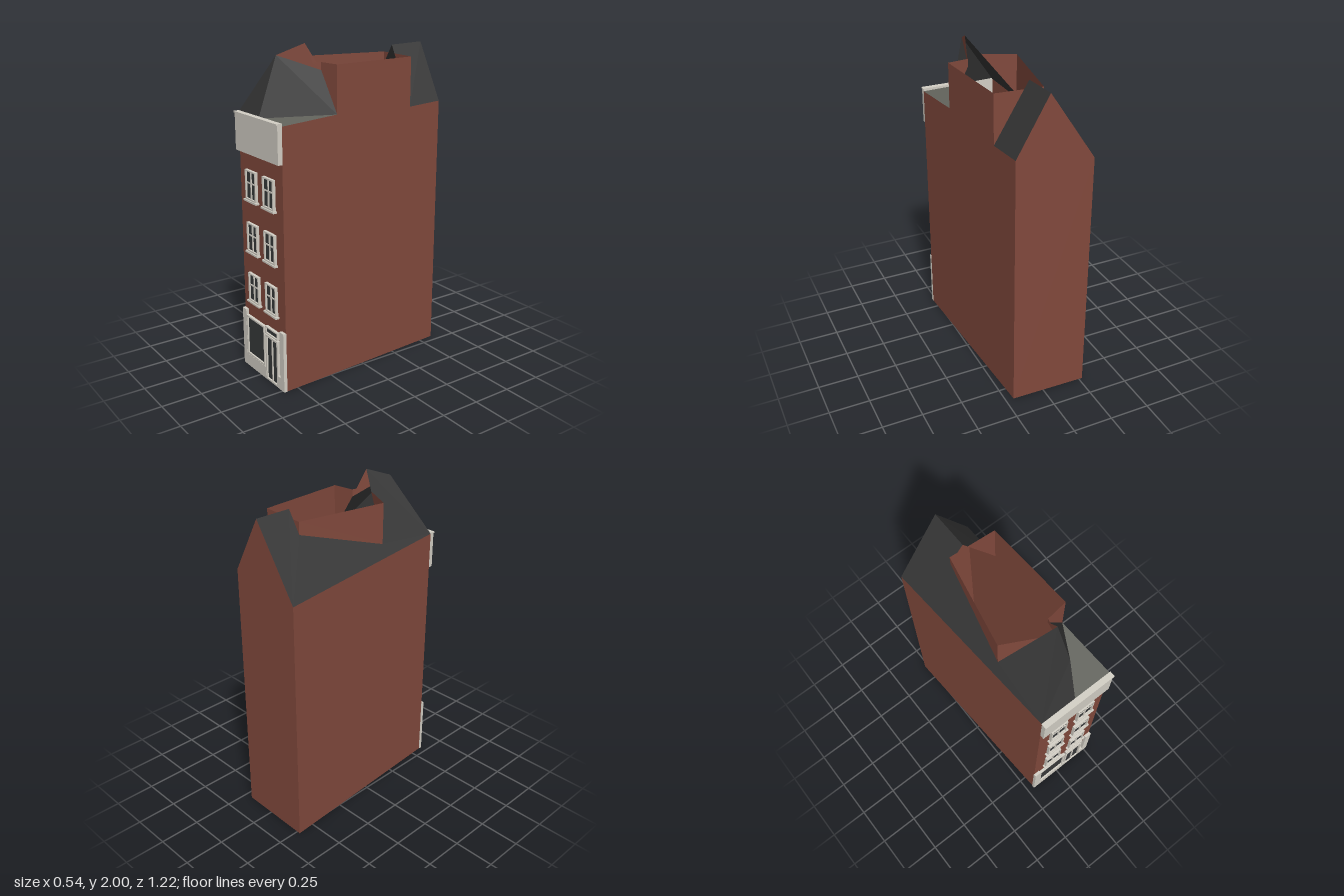
import * as THREE from 'three';

const mat = (name, color, side = THREE.FrontSide) => {
  const m = new THREE.MeshStandardMaterial({ color, side });
  m.name = name;
  return m;
};

export function createModel() {
  const group = new THREE.Group();
  const brick = mat('brick', 0x81493c, THREE.DoubleSide);
  const slate = mat('slate', 0x363636, THREE.DoubleSide);
  const leadRoof = mat('lead roof', 0x63645d, THREE.DoubleSide);
  const stone = mat('cream stone', 0xd3cfc5);
  const glass = mat('dark glass', 0x383a3b);

  // Flat-shaded sheet made of convex polygons, each split into a fan
  function sheet(name, material, ...polys) {
    const pos = [];
    for (const p of polys)
      for (let i = 1; i < p.length - 1; i++) pos.push(...p[0], ...p[i], ...p[i + 1]);
    const g = new THREE.BufferGeometry();
    g.setAttribute('position', new THREE.Float32BufferAttribute(pos, 3));
    g.computeVertexNormals();
    const m = new THREE.Mesh(g, material);
    m.name = name;
    group.add(m);
  }
  // Box given by its x, y and z ranges
  function box(name, material, x0, x1, y0, y1, z0, z1, parent = group) {
    const m = new THREE.Mesh(new THREE.BoxGeometry(x1 - x0, y1 - y0, z1 - z0), material);
    m.position.set((x0 + x1) / 2, (y0 + y1) / 2, (z0 + z1) / 2);
    m.name = name;
    parent.add(m);
  }
  const at = (p, y) => [p[0], y, p[1]];

  // Plan points [x, z]: house corners, then the raised brick well
  const FL = [-0.203, 0.578], FR = [0.27, 0.578], BR = [0.2, -0.602], BL = [-0.272, -0.612];
  const A = [-0.073, -0.38], B = [0.214, -0.36], C = [0.247, 0.198];
  const D = [0.115, 0.215], E = [0.093, 0.31], F = [-0.18, 0.17];
  const H = [0.025, 0.578];
  const top = 1.89;
  // Roof points
  const fl = at(FL, 1.6), fr = at(FR, 1.59), h = at(H, 1.595), bl = at(BL, 1.53), br = at(BR, 1.6);
  const a = at(A, 1.815), b = at(B, 1.59), c = at(C, 1.61), d = at(D, 1.845);
  const e = at(E, 2.0), f = at(F, 1.64), g = [0.047, 1.94, 0.47];
  const ridgeBack = [0.006, 1.945, -0.607], ridgeFront = [0.012, 1.94, -0.374];

  // Outer walls and ground floor
  sheet('frontWall', brick, [at(FL, 0), at(FR, 0), fr, h, fl]);
  sheet('backWall', brick, [at(BR, 0), at(BL, 0), bl, ridgeBack, br]);
  sheet('leftWall', brick,
    [at(FR, 0), at(BR, 0), br, b, at(C, 1.59), fr],
    [fr, at(C, 1.59), c],
    [at(C, 1.59), b, at(B, top), at(C, top)]);
  sheet('rightWall', brick, [at(BL, 0), at(FL, 0), fl, bl]);
  sheet('floor', brick, [at(FL, 0), at(BL, 0), at(BR, 0), at(FR, 0)]);

  // Brick walls rising through the roof, open at the top
  const cross = (p, q) => {
    const t = (top - p[1]) / (q[1] - p[1]);
    return p.map((v, i) => v + (q[i] - v) * t);
  };
  sheet('roofWellWalls', brick,
    [f, at(F, top), at(A, top), a],
    [f, cross(f, e), at(F, top)],
    [a, at(A, top), cross(a, ridgeFront)],
    [b, cross(b, ridgeFront), at(B, top)],
    [d, c, at(C, top), at(D, top)],
    [d, at(D, top), cross(at(E, 2), [0.104, 1.885, 0.265])],
    [d, [0.104, top, 0.265], e, g]);

  // Slate slopes
  sheet('rightRoofSlope', slate,
    [fl, g, e], [fl, e, f], [fl, f, bl], [bl, f, a], [bl, a, ridgeFront], [bl, ridgeFront, ridgeBack]);
  sheet('backLeftRoofSlope', slate, [b, br, ridgeBack, ridgeFront]);
  sheet('frontRoofSlopes', slate, [fl, h, g], [h, c, g], [g, c, d]);
  sheet('flatRoof', leadRoof, [h, fr, c]);

  // Cornice with a thin stepped lip
  box('cornice', stone, -0.203, 0.27, 1.378, 1.598, 0.576, 0.605);
  box('corniceLip', stone, -0.205, 0.272, 1.598, 1.607, 0.576, 0.612);

  // Glazing with a frame and bars; bars are fractions of the width and height
  function glazed(name, x0, x1, y0, y1, rim, vBars, hBars) {
    const w = new THREE.Group();
    w.name = name;
    group.add(w);
    box('glass', glass, x0 + 0.002, x1 - 0.002, y0 + 0.002, y1 - 0.002, 0.577, 0.586, w);
    for (const x of [x0, x1 - rim]) box('frameSide', stone, x, x + rim, y0, y1, 0.577, 0.596, w);
    for (const y of [y0, y1 - rim]) box('frameRail', stone, x0 + rim, x1 - rim, y, y + rim, 0.577, 0.596, w);
    for (const v of vBars) {
      const x = x0 + (x1 - x0) * v;
      box('upright', stone, x - 0.005, x + 0.005, y0 + rim, y1 - rim, 0.577, 0.592, w);
    }
    for (const v of hBars) {
      const y = y0 + (y1 - y0) * v;
      box('crossbar', stone, x0 + rim, x1 - rim, y - 0.004, y + 0.004, 0.577, 0.591, w);
    }
  }

  // Three floors of paired windows with sills
  for (const y of [0.45, 0.77, 1.093])
    for (const x of [-0.065, 0.131]) {
      glazed('window', x - 0.059, x + 0.059, y + 0.003, y + 0.183, 0.009, [0.5], [0.57]);
      box('windowSill', stone, x - 0.071, x + 0.071, y - 0.008, y + 0.003, 0.577, 0.603);
    }

  // Shopfront: pillars, plinth, display window, door and fanlight
  for (const [x0, x1] of [[-0.205, -0.163], [0.228, 0.272]])
    box('pillar', stone, x0, x1, 0, 0.375, 0.576, 0.597);
  box('plinth', stone, -0.163, 0.062, 0, 0.078, 0.577, 0.597);
  box('plinth', stone, 0.2, 0.228, 0, 0.078, 0.577, 0.597);
  glazed('shopWindow', -0.163, 0.05, 0.078, 0.34, 0.011, [], []);
  glazed('door', 0.062, 0.2, 0, 0.297, 0.012, [0.5], []);
  glazed('fanlight', 0.062, 0.2, 0.304, 0.352, 0.008, [], []);
  return group;
}
